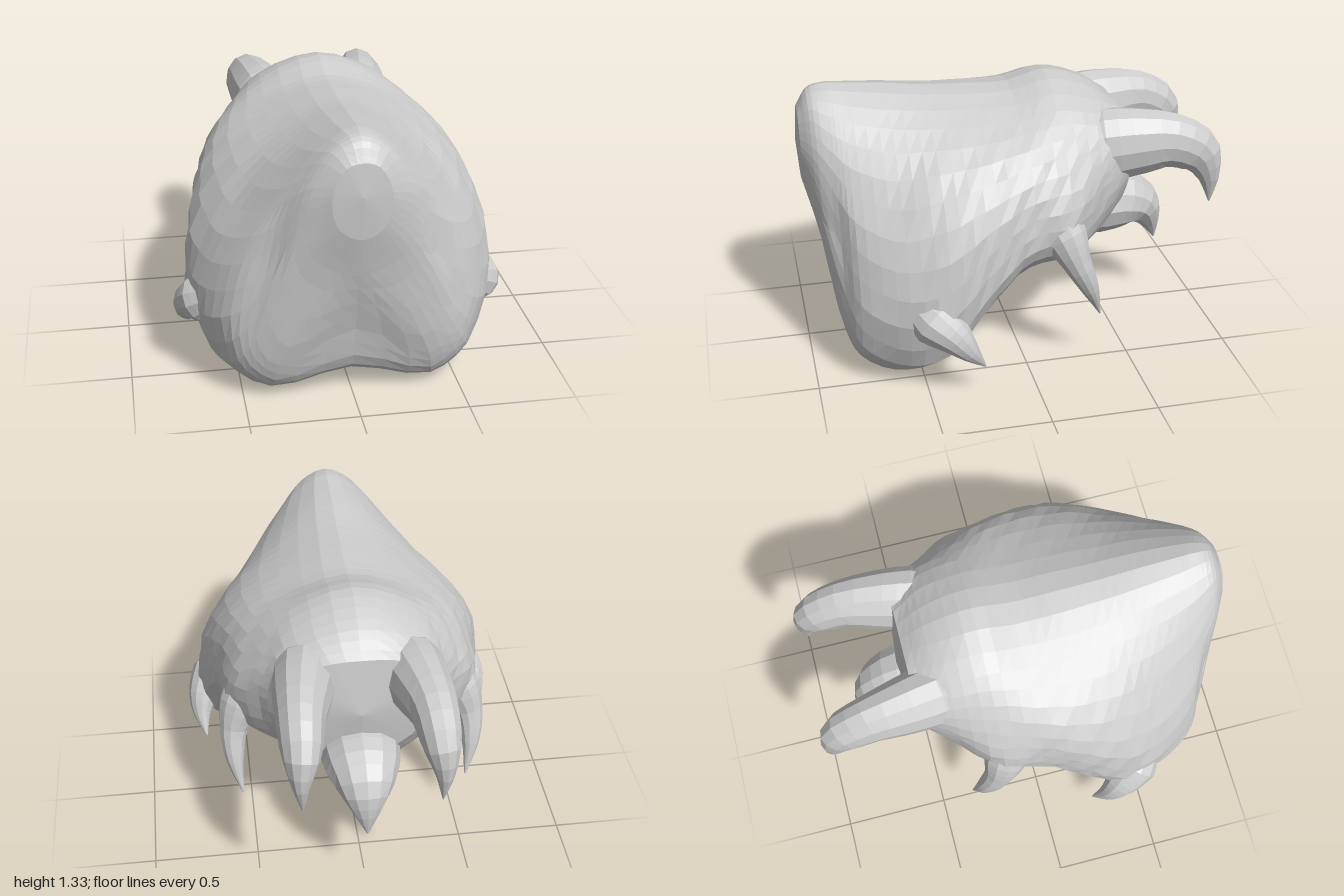
import * as THREE from 'three';

const material = new THREE.MeshStandardMaterial({ color: 0xcccccc, flatShading: true, side: THREE.DoubleSide });

// Half cross-sections, front to back: z, top y, five x,y pairs down the side, bottom y
const SECTIONS = [
  [0.985, 1.22, 0.07, 1.2, 0.12, 1.11, 0.13, 1.03, 0.11, 0.94, 0.06, 0.89, 0.87],
  [0.93, 1.31, 0.12, 1.25, 0.21, 1.1, 0.25, 0.93, 0.23, 0.77, 0.13, 0.68, 0.65],
  [0.85, 1.33, 0.17, 1.23, 0.31, 1.01, 0.39, 0.68, 0.44, 0.37, 0.34, 0.22, 0.38],
  [0.78, 1.325, 0.2, 1.21, 0.39, 0.94, 0.54, 0.57, 0.53, 0.21, 0.37, 0.07, 0.14],
  [0.6, 1.31, 0.25, 1.18, 0.5, 0.89, 0.67, 0.51, 0.59, 0.13, 0.38, 0.0, 0.07],
  [0.4, 1.285, 0.28, 1.17, 0.56, 0.94, 0.72, 0.56, 0.65, 0.19, 0.38, 0.1, 0.16],
  [0.2, 1.275, 0.3, 1.17, 0.56, 0.99, 0.68, 0.72, 0.64, 0.43, 0.35, 0.29, 0.27],
  [0.0, 1.27, 0.3, 1.18, 0.52, 1.04, 0.62, 0.82, 0.59, 0.6, 0.3, 0.43, 0.34],
  [-0.2, 1.315, 0.29, 1.21, 0.46, 1.06, 0.585, 0.84, 0.55, 0.61, 0.27, 0.46, 0.38],
  [-0.4, 1.25, 0.27, 1.17, 0.39, 1.04, 0.43, 0.88, 0.38, 0.67, 0.2, 0.5, 0.42],
  [-0.53, 1.15, 0.2, 1.13, 0.34, 1.04, 0.35, 0.9, 0.27, 0.74, 0.14, 0.63, 0.56],
];
const AROUND = 36, ALONG = 34;

// Mirrored closed outline of one section
function outline([z, top, ...rest]) {
  const bottom = rest.pop();
  const side = [];
  for (let i = 0; i < rest.length; i += 2) side.push(new THREE.Vector3(rest[i], rest[i + 1], z));
  const mirrored = side.map((p) => new THREE.Vector3(-p.x, p.y, z)).reverse();
  return new THREE.CatmullRomCurve3(
    [new THREE.Vector3(0, top, z), ...side, new THREE.Vector3(0, bottom, z), ...mirrored], true);
}

function bodyGeometry() {
  const rings = SECTIONS.map(outline);
  const positions = [], index = [];
  for (let i = 0; i < AROUND; i++) {
    const strip = new THREE.CatmullRomCurve3(rings.map((r) => r.getPoint(i / AROUND)));
    for (let j = 0; j <= ALONG; j++) {
      const p = strip.getPoint(j / ALONG);
      // gentle uneven hide, the same on both sides
      const bump = 1 + 0.015 * Math.sin(Math.abs(p.x) * 23 + p.z * 17) * Math.sin(p.y * 21 - p.z * 9);
      positions.push(p.x * bump, Math.max(p.y, 0), p.z);
    }
  }
  const at = (i, j) => (i % AROUND) * (ALONG + 1) + j;
  const front = AROUND * (ALONG + 1), back = front + 1;
  positions.push(0, 1.07, 1.0, 0, 0.87, -0.57);
  for (let i = 0; i < AROUND; i++) {
    for (let j = 0; j < ALONG; j++) {
      index.push(at(i, j), at(i + 1, j), at(i, j + 1));
      index.push(at(i + 1, j), at(i + 1, j + 1), at(i, j + 1));
    }
    index.push(front, at(i + 1, 0), at(i, 0), back, at(i, ALONG), at(i + 1, ALONG));
  }
  const g = new THREE.BufferGeometry();
  g.setAttribute('position', new THREE.Float32BufferAttribute(positions, 3));
  g.setIndex(index);
  g.computeVertexNormals();
  return g;
}

// Tapered curved horn; each point is [x, y, z, radius], width scales its thickness in x
function hornGeometry(points, width, segments = 16, sides = 12) {
  const curve = new THREE.CatmullRomCurve3(points.map(([x, y, z]) => new THREE.Vector3(x, y, z)));
  const g = new THREE.TubeGeometry(curve, segments, 1, sides);
  const pos = g.attributes.position, v = new THREE.Vector3();
  for (let s = 0; s <= segments; s++) {
    const centre = curve.getPointAt(s / segments);
    const t = curve.getUtoTmapping(s / segments) * (points.length - 1);
    const k = Math.min(Math.floor(t), points.length - 2);
    const radius = THREE.MathUtils.lerp(points[k][3], points[k + 1][3], t - k);
    for (let n = 0; n <= sides; n++) {
      const id = s * (sides + 1) + n;
      v.fromBufferAttribute(pos, id).sub(centre).multiplyScalar(radius);
      v.x *= width;
      v.add(centre);
      pos.setXYZ(id, v.x, v.y, v.z);
    }
  }
  g.computeVertexNormals();
  return g;
}

export function createModel() {
  const model = new THREE.Group();
  const add = (name, geometry) => {
    const mesh = new THREE.Mesh(geometry, material);
    mesh.name = name;
    model.add(mesh);
  };

  add('body', bodyGeometry());

  // Paired hooks and claws, rooted inside the body
  const pairs = {
    RearHook: [0.8, [[0.2, 0.96, -0.2, 0.13], [0.25, 1.0, -0.45, 0.185], [0.275, 1.015, -0.6, 0.165],
      [0.295, 1.015, -0.75, 0.135], [0.305, 0.945, -0.885, 0.115], [0.315, 0.83, -0.94, 0.06],
      [0.31, 0.68, -0.955, 0.004]]],
    MiddleClaw: [1, [[0.42, 0.82, -0.08, 0.08], [0.52, 0.7, -0.16, 0.115], [0.575, 0.57, -0.215, 0.07],
      [0.58, 0.43, -0.28, 0.045], [0.55, 0.265, -0.345, 0.004]]],
    FrontClaw: [1, [[0.55, 0.45, 0.55, 0.08], [0.65, 0.38, 0.46, 0.12], [0.705, 0.32, 0.385, 0.085],
      [0.725, 0.25, 0.325, 0.05], [0.71, 0.15, 0.245, 0.004]]],
  };
  for (const [name, [width, points]] of Object.entries(pairs)) {
    add('left' + name, hornGeometry(points, width));
    add('right' + name, hornGeometry(points.map(([x, y, z, r]) => [-x, y, z, r]), width));
  }

  // Central rear spike
  add('rearSpike', hornGeometry([[0, 0.6, -0.2, 0.1], [0, 0.6, -0.45, 0.17], [0, 0.595, -0.6, 0.155],
    [0, 0.55, -0.7, 0.115], [0, 0.46, -0.755, 0.06], [0, 0.35, -0.79, 0.004]], 1.15));

  return model;
}
